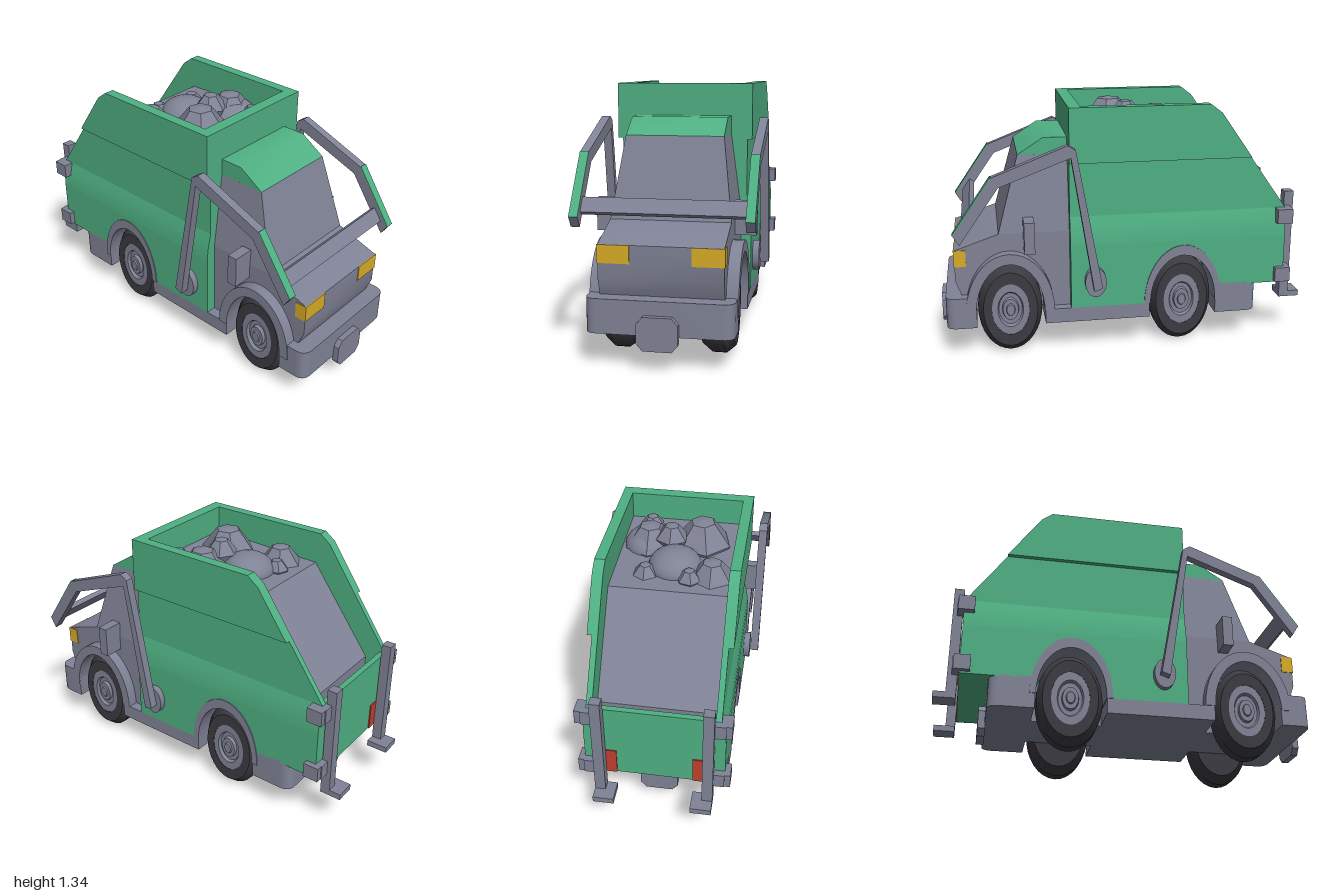
import * as THREE from 'three';
import { toCreasedNormals } from 'three/addons/utils/BufferGeometryUtils.js';

const material = (name, color) => {
  const m = new THREE.MeshStandardMaterial({ color });
  m.name = name;
  return m;
};

export function createModel() {
  const model = new THREE.Group();
  const grey = material('grey paint', 0x808396);
  const green = material('green paint', 0x4fb083);
  const rubber = material('dark rubber', 0x3a3a41);
  const yellow = material('yellow lamp', 0xd8ac28);
  const red = material('red lamp', 0xc0402f);

  const add = (name, geo, mat, crease = 0.6) => {
    const mesh = new THREE.Mesh(toCreasedNormals(geo, crease), mat);
    mesh.name = name;
    model.add(mesh);
    return mesh;
  };
  // box given by its limits
  const box = (name, mat, x0, x1, y0, y1, z0, z1) => add(name,
    new THREE.BoxGeometry(Math.abs(x1 - x0), y1 - y0, z1 - z0)
      .translate((x0 + x1) / 2, (y0 + y1) / 2, (z0 + z1) / 2), mat);
  // [z, y] outline extruded across x
  const sideGeo = (pts, x0, x1) => new THREE.ExtrudeGeometry(
    new THREE.Shape(pts.map(([z, y]) => new THREE.Vector2(-z, y))),
    { depth: x1 - x0, bevelEnabled: false }).rotateY(Math.PI / 2).translate(x0, 0, 0);
  const side = (name, mat, pts, x0, x1) => add(name, sideGeo(pts, x0, x1), mat);
  const sidePair = (name, mat, pts, x0, x1) => {
    side('left' + name, mat, pts, x0, x1);
    side('right' + name, mat, pts, -x1, -x0);
  };
  // [x, y] outline extruded along z
  const along = (name, mat, pts, z0, z1) => add(name, new THREE.ExtrudeGeometry(
    new THREE.Shape(pts.map(([x, y]) => new THREE.Vector2(x, y))),
    { depth: z1 - z0, bevelEnabled: false }).translate(0, 0, z0), mat);
  // oval arc over a wheel, from rear (PI) to front (0) or back
  const arc = (cz, rz, ry, a0, a1) => Array.from({ length: 21 }, (_, i) => {
    const a = a0 + (a1 - a0) * i / 20;
    return [cz + rz * Math.cos(a), 0.25 + ry * Math.sin(a)];
  });
  // block with two rounded upright edges at its outer end
  const endBlock = (name, zIn, zOut, y0, y1) => {
    const w = 0.36, r = 0.06, s = Math.sign(zOut - zIn), shape = new THREE.Shape();
    shape.moveTo(-w, -zIn);
    shape.lineTo(-w, -(zOut - s * r));
    shape.quadraticCurveTo(-w, -zOut, -w + r, -zOut);
    shape.lineTo(w - r, -zOut);
    shape.quadraticCurveTo(w, -zOut, w, -(zOut - s * r));
    shape.lineTo(w, -zIn);
    add(name, new THREE.ExtrudeGeometry(shape, { depth: y1 - y0, bevelEnabled: false })
      .rotateX(-Math.PI / 2).translate(0, y0, 0), grey);
  };
  const FRONT = 0.63, REAR = -0.31;

  // Chassis
  box('chassisCore', grey, -0.165, 0.165, 0.17, 0.58, -0.6, 0.85);
  box('chassisMiddle', grey, -0.36, 0.36, 0.17, 0.25, -0.125, 0.445);
  endBlock('frontBumper', 0.81, 0.97, 0.17, 0.34);
  endBlock('rearBumper', -0.495, -0.73, 0.17, 0.34);
  const plate = [[-0.1, 0.14], [-0.07, 0.105], [0.07, 0.105], [0.1, 0.14],
    [0.1, 0.235], [0.07, 0.27], [-0.07, 0.27], [-0.1, 0.235]];
  along('frontPlate', grey, plate, 0.965, 1.0);
  along('rearPlate', grey, plate, -0.765, -0.725);

  // Wheels and arches
  const tyre = [[0, 0.165], [0.13, 0.165], [0.21, 0.165], [0.25, 0.215], [0.25, 0.285],
    [0.21, 0.33], [0.145, 0.33], [0.14, 0.3]];
  const rim = [[0.15, 0.29], [0.145, 0.328], [0.1, 0.328], [0.09, 0.312], [0.065, 0.312],
    [0.06, 0.33], [0.035, 0.33], [0.03, 0.338], [0, 0.338]];
  const wheelGeo = (pts) => new THREE.LatheGeometry(
    pts.map(([r, x]) => new THREE.Vector2(r, x)), 32).rotateZ(-Math.PI / 2).scale(1, 1, 0.69);
  for (const [place, z, outer] of [['front', FRONT, 0.235], ['rear', REAR, 0.215]]) {
    for (const s of [1, -1]) {
      for (const [part, pts, mat] of [['Tyre', tyre, rubber], ['Hub', rim, grey]]) {
        const m = add(place + part, wheelGeo(pts), mat);
        m.position.set(0, 0.25, z);
        if (s < 0) m.rotation.y = Math.PI;
      }
    }
    sidePair(place + 'WheelArch', grey,
      [...arc(z, outer, 0.325, 0, Math.PI), ...arc(z, 0.182, 0.268, Math.PI, 0)], 0.16, 0.365);
  }

  // Cab
  side('cabLower', grey, [[0.305, 0.25], [0.305, 0.67], [0.68, 0.67], [0.915, 0.59],
    [0.915, 0.42], [0.885, 0.34], [0.82, 0.34], ...arc(FRONT, 0.19, 0.28, 0, Math.PI)],
  -0.305, 0.305);
  const upper = sideGeo([[0.305, 0.67], [0.305, 1.08], [0.565, 1.08], [0.68, 0.67]], -0.305, 0.305);
  const pos = upper.attributes.position;
  for (let i = 0; i < pos.count; i++) if (pos.getY(i) > 1) pos.setX(i, pos.getX(i) * 0.82);
  add('cabUpper', upper, grey);
  side('cabRoof', green, [[0.305, 1.08], [0.305, 1.167], [0.43, 1.167], [0.565, 1.08]], -0.25, 0.25);
  for (const s of [1, -1]) {
    box('headlight', yellow, s * 0.15, s * 0.309, 0.5, 0.59, 0.855, 0.919);
    box('mirror', grey, s * 0.3, s * 0.413, 0.585, 0.755, 0.495, 0.55);
  }

  // Container
  side('bodyLower', green, [[0.305, 0.25], [0.305, 0.6], [-0.85, 0.6], [-0.85, 0.33], [-0.5, 0.33],
    ...arc(REAR, 0.19, 0.28, Math.PI, 0)], -0.36, 0.36);
  for (const s of [1, -1]) {
    along('bodyShoulder', green, [[0.305, 0.6], [0.36, 0.6], [0.357, 0.65], [0.349, 0.7],
      [0.335, 0.755], [0.305, 0.755]].map(([x, y]) => [s * x, y]), -0.88, 0.305);
  }
  sidePair('MiddleWall', green, [[0.305, 0.755], [0.305, 1.045], [-0.674, 1.045], [-0.88, 0.755]],
    0.305, 0.335);
  sidePair('UpperWall', green, [[0.305, 1.045], [0.305, 1.335], [-0.44, 1.335], [-0.5, 1.29],
    [-0.674, 1.045]], 0.305, 0.36);
  box('frontWall', green, -0.305, 0.305, 0.6, 1.335, 0.24, 0.305);
  side('tailgate', green, [[-0.88, 0.33], [-0.88, 0.755], [-0.85, 0.755], [-0.77, 0.62],
    [-0.77, 0.33]], -0.305, 0.305);
  sidePair('TailCorner', green, [[-0.88, 0.33], [-0.88, 0.6], [-0.85, 0.6], [-0.85, 0.33]],
    0.305, 0.36);

  // Load
  side('loadBed', grey, [[-0.77, 0.61], [-0.77, 0.7], [-0.42, 1.165], [0.24, 1.19], [0.24, 0.61]],
    -0.305, 0.305);
  for (const [x, z, r] of [[0, -0.19, 0.14], [0.16, 0.0, 0.14]]) {
    add('mound', new THREE.SphereGeometry(r, 20, 12).scale(1, 0.7, 1).translate(x, 1.17, z), grey);
  }
  const rocks = [[-0.2, 1.15, -0.26, 0.12], [-0.09, 1.17, -0.31, 0.065], [0.14, 1.16, -0.28, 0.07],
    [-0.115, 1.18, 0.03, 0.155], [0.04, 1.24, -0.04, 0.09], [0.175, 1.2, 0.14, 0.07],
    [0.16, 1.17, -0.01, 0.14]];
  rocks.forEach(([x, y, z, r], i) => {
    const pts = [[0, -0.3], [0.8, -0.3], [1, 0.1], [0.42, 0.85], [0, 0.92]]
      .map(([a, b]) => new THREE.Vector2(a * r, b * r));
    add('rock', new THREE.LatheGeometry(pts, 6, i % 2 * 0.25).translate(x, y, z), grey, 0.05);
  });

  // Lifting arms
  sidePair('Arm', grey, [[0.19, 0.368], [0.305, 1.095], [0.675, 0.955], [0.88, 0.663],
    [0.912, 0.715], [0.71, 1.008], [0.32, 1.16], [0.28, 1.135], [0.145, 0.385]], 0.4, 0.445);
  sidePair('ArmFrontFace', green, [[0.71, 1.008], [0.912, 0.715], [0.916, 0.718], [0.714, 1.011]],
    0.4, 0.445);
  const bar = add('crossbar', new THREE.BoxGeometry(0.82, 0.08, 0.03), grey);
  bar.position.set(0, 0.76, 0.835);
  bar.rotation.x = -0.6;
  for (const s of [1, -1]) {
    add('armPivot', new THREE.CylinderGeometry(0.082, 0.082, 0.06, 24)
      .rotateZ(Math.PI / 2).scale(1, 1, 0.7).translate(s * 0.365, 0.4, 0.175), grey);
    box('armPin', grey, s * 0.39, s * 0.405, 0.385, 0.43, 0.155, 0.19);

    // Tail posts, hinges and lamps
    box('tailPost', grey, s * 0.25, s * 0.305, 0.215, 0.835, -0.937, -0.885);
    box('tailPostFoot', grey, s * 0.197, s * 0.305, 0.215, 0.247, -1.0, -0.885);
    for (const [y0, y1] of [[0.675, 0.755], [0.34, 0.42]]) {
      box('hinge', grey, s * 0.335, s * 0.39, y0, y1, -0.91, -0.825);
      box('hingeLink', grey, s * 0.29, s * 0.36, y0, y1, -0.915, -0.87);
    }
    box('tailLamp', red, s * 0.195, s * 0.25, 0.33, 0.48, -0.886, -0.878);
  }
  return model;
}
